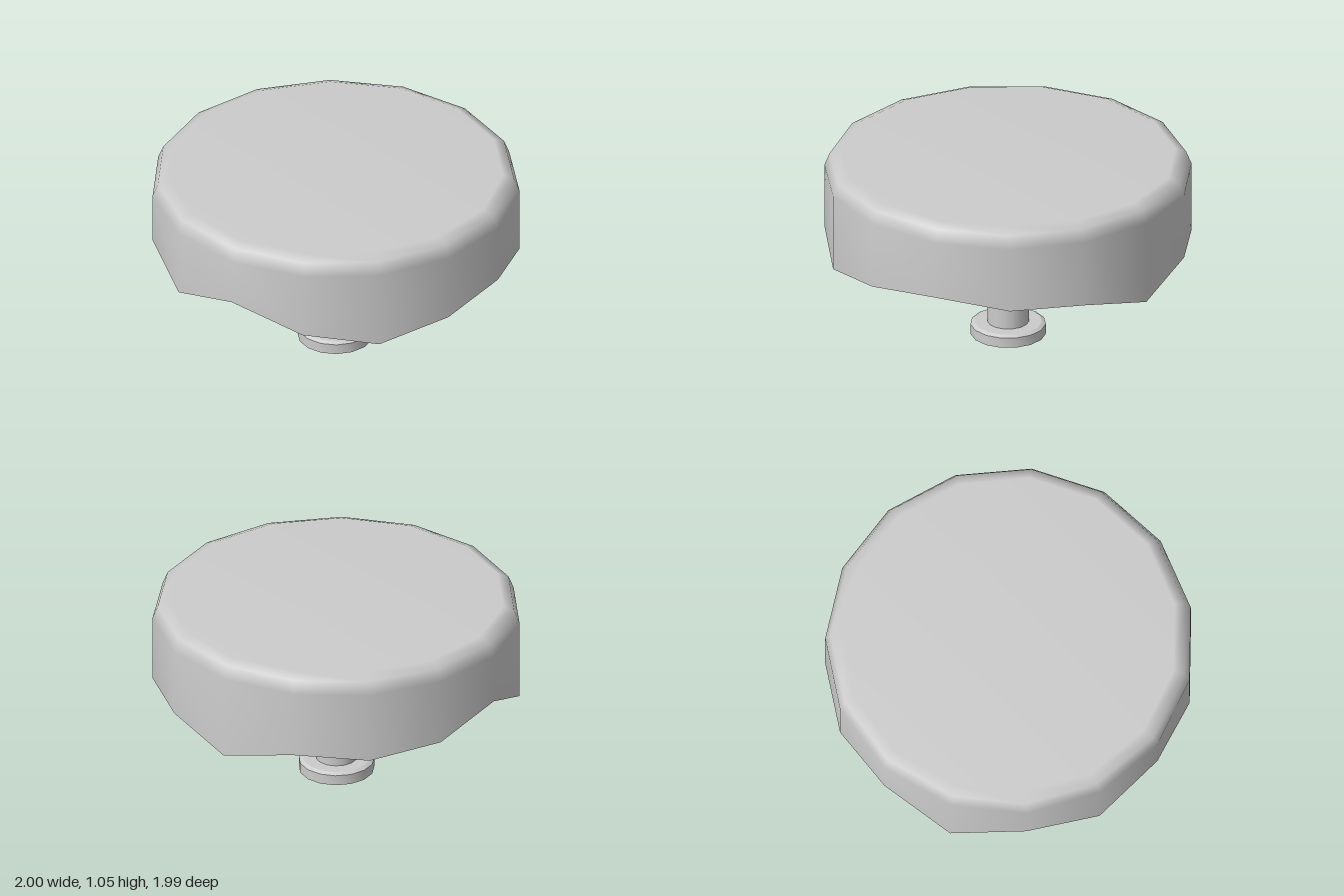
import * as THREE from 'three';
import { toCreasedNormals } from 'three/addons/utils/BufferGeometryUtils.js';

const SIDES = 15;
const CENTER_Z = 0.0085;

// Height of the cloth's hem at each corner, starting at the back and turning towards +x
const HEM = [0.56, 0.588, 0.49, 0.585, 0.59, 0.635, 0.588, 0.525, 0.59, 0.705, 0.587, 0.68, 0.51, 0.683, 0.59];

// Round cloth: rings from the top rim down to the uneven hem
function clothGeometry() {
  const rings = [
    { r: 0.915, y: () => 1.055 },
    { r: 0.975, y: () => 1.03 },
    { r: 1.0036, y: () => 0.96 },
    { r: 1.0036, y: (i) => HEM[i] },
  ];
  const positions = [0, 1.055, 0];
  const index = [];
  for (const ring of rings) {
    for (let i = 0; i < SIDES; i++) {
      const a = (i / SIDES) * Math.PI * 2;
      positions.push(ring.r * Math.sin(a), ring.y(i), -ring.r * Math.cos(a));
    }
  }
  const at = (j, i) => 1 + j * SIDES + (i % SIDES);
  for (let i = 0; i < SIDES; i++) {
    index.push(0, at(0, i + 1), at(0, i));
    for (let j = 0; j < rings.length - 1; j++) {
      index.push(at(j, i), at(j, i + 1), at(j + 1, i));
      index.push(at(j, i + 1), at(j + 1, i + 1), at(j + 1, i));
    }
  }
  const geometry = new THREE.BufferGeometry();
  geometry.setAttribute('position', new THREE.Float32BufferAttribute(positions, 3));
  geometry.setIndex(index);
  geometry.computeVertexNormals();
  return geometry;
}

// Plank running along x, its ends cut to a circle
function slatGeometry(z, width, radius, thickness) {
  const steps = [-1, 0, 1].map((s) => z + (s * width) / 2);
  const reach = (v) => Math.sqrt(Math.max(radius * radius - v * v, 0));
  const points = [
    ...steps.map((v) => new THREE.Vector2(reach(v), v)),
    ...steps.slice().reverse().map((v) => new THREE.Vector2(-reach(v), v)),
  ];
  const geometry = new THREE.ExtrudeGeometry(new THREE.Shape(points), { depth: thickness, bevelEnabled: false });
  geometry.rotateX(Math.PI / 2);
  return geometry;
}

export function createModel() {
  const model = new THREE.Group();
  model.name = 'clothCoveredTable';
  const solid = new THREE.MeshStandardMaterial({ color: 0xcccccc });
  const thin = new THREE.MeshStandardMaterial({ color: 0xcccccc, side: THREE.DoubleSide });

  function add(name, geometry, material, x = 0, y = 0, z = 0) {
    const mesh = new THREE.Mesh(geometry, material);
    mesh.name = name;
    mesh.position.set(x, y, z + CENTER_Z);
    model.add(mesh);
    return mesh;
  }

  add('tablecloth', clothGeometry(), thin);

  // Tabletop made of six planks
  const pitch = 0.29;
  for (let i = 0; i < 6; i++) {
    add('tabletopSlat', slatGeometry((i - 2.5) * pitch, 0.24, 0.89, 0.08), solid, 0, 1.02);
  }

  // Two beams across the planks
  for (const side of [-1, 1]) {
    add('crossBeam', new THREE.BoxGeometry(0.2, 0.06, 1.34), solid, side * 0.56, 0.91);
  }

  // Hollow column
  const column = new THREE.CylinderGeometry(0.113, 0.113, 0.9, 15, 1, true);
  add('column', column, thin, 0, 0.49);

  // Foot: a shallow open cap around the column
  const footProfile = [[0.206, 0], [0.206, 0.058], [0.185, 0.07], [0.11, 0.07]].map(([r, y]) => new THREE.Vector2(r, y));
  const foot = toCreasedNormals(new THREE.LatheGeometry(footProfile, SIDES), 0.5);
  add('foot', foot, thin);

  return model;
}
